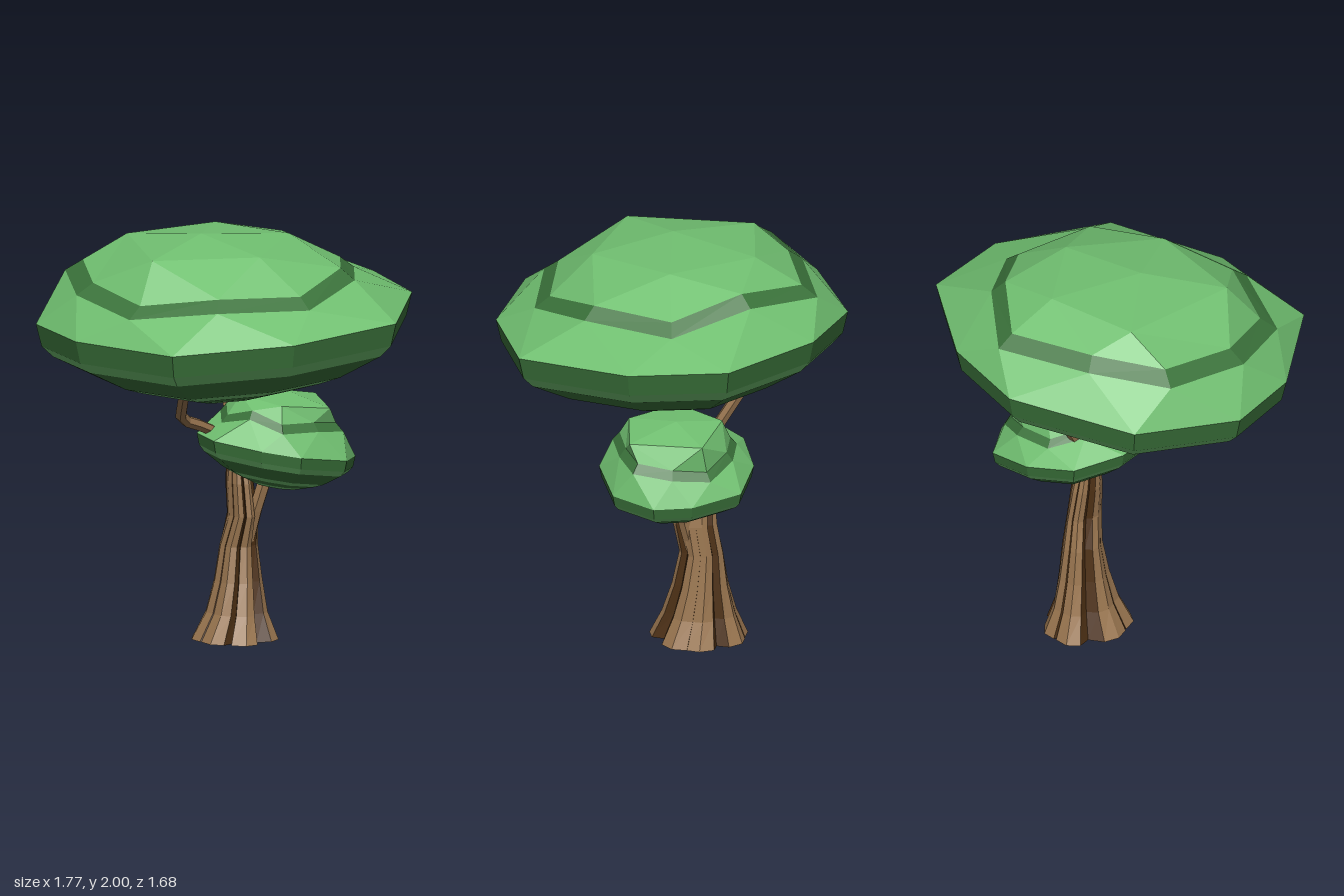
import * as THREE from 'three';

const V = (x, y, z) => new THREE.Vector3(x, y, z);
const mat = color => new THREE.MeshStandardMaterial({ color, flatShading: true, roughness: 1 });
const LEAF = mat(0x70bf70), LEAF_DARK = mat(0x3b733b), BARK = mat(0x9a7650), GROOVE = mat(0x4d3014);

// Joins two closed rings (lower, upper) with triangles; pick(i) chooses the target list
function loft(lower, upper, pick) {
  const n = lower.length;
  for (let i = 0; i < n; i++) {
    const j = (i + 1) % n;
    pick(i).push(lower[j], lower[i], upper[i], lower[j], upper[i], upper[j]);
  }
}

function addMesh(parent, name, points, material, matrix) {
  const geo = new THREE.BufferGeometry().setFromPoints(points);
  if (matrix) geo.applyMatrix4(matrix);
  geo.computeVertexNormals();
  const mesh = new THREE.Mesh(geo, material);
  mesh.name = name;
  parent.add(mesh);
}

// Faceted leaf crown, y = 0 at its widest rim; bulge widens the cap, depth scales the underside
function crown(name, matrix, bulge, depth) {
  const rim = [[0.02, -0.84], [0.45, -0.69], [0.87, -0.3], [0.88, 0.18], [0.59, 0.71],
    [0.02, 0.84], [-0.56, 0.72], [-0.85, 0.2], [-0.89, -0.22], [-0.6, -0.67]];
  const stripe = [[0.19, 0.18, -0.7], [0.47, 0.235, -0.39], [0.66, 0.155, -0.02], [0.5, 0.175, 0.4],
    [0.17, 0.095, 0.65], [-0.29, 0.105, 0.62], [-0.65, 0.06, 0.39], [-0.76, 0.115, -0.02],
    [-0.65, 0.155, -0.45], [-0.28, 0.18, -0.61]].map(p => V(...p));
  const cap = [[0.1, 0.345, -0.4], [0.32, 0.345, 0], [0.02, 0.315, 0.38],
    [-0.47, 0.305, 0.23], [-0.36, 0.325, -0.38]].map(([x, y, z]) => V(x * bulge, y, z * bulge));

  // underside: scaled copies of the tilted rim, [scale, height]
  const under = [[0, -0.418], [0.26, -0.4], [0.38, -0.37], [0.55, -0.325], [0.67, -0.285],
    [0.91, -0.165], [0.97, -0.11], [1, 0]];
  const rings = under.map(([s, y]) =>
    rim.map(([x, z]) => V(x * s, y * depth + s * (0.068 * x - 0.04 * z), z * s)));
  // upper side: stripe, five-cornered cap and apex
  rings.push(stripe, stripe.map(p => V(p.x * 0.89, p.y + 0.055, p.z * 0.89)));
  rings.push(stripe.map((_, i) => cap[Math.floor((i + 1) / 2) % 5]));
  rings.push(stripe.map(() => V(-0.13, 0.375, 0)));

  const light = [], dark = [];
  const darkBands = [0, 2, 4, 6, 8];
  for (let k = 0; k + 1 < rings.length; k++) {
    loft(rings[k], rings[k + 1], () => (darkBands.includes(k) ? dark : light));
  }
  const group = new THREE.Group();
  group.name = name;
  addMesh(group, 'leaves', light, LEAF, matrix);
  addMesh(group, 'leafStripes', dark, LEAF_DARK, matrix);
  return group;
}

// Fluted trunk: lobes of bark separated by dark grooves
function trunk() {
  const LOBES = 7;
  const levels = [ // y, centre x, centre z, radius x, radius z
    [0, 0.09, -0.13, 0.205, 0.235], [0.13, 0.1, -0.135, 0.145, 0.178],
    [0.28, 0.11, -0.14, 0.115, 0.135], [0.45, 0.115, -0.145, 0.092, 0.105],
    [0.6, 0.125, -0.115, 0.072, 0.105], [0.76, 0.11, -0.115, 0.066, 0.092],
    [0.92, 0.1, -0.115, 0.05, 0.06]];
  const rings = levels.map(([y, cx, cz, rx, rz]) => {
    const ring = [];
    for (let i = 0; i < LOBES; i++) {
      for (const [t, r] of [[0, 0.74], [0.2, 0.96], [0.55, 1.02], [0.93, 0.95]]) {
        const a = (i + t + 0.2 * Math.sin(i * 2.3)) / LOBES * Math.PI * 2 - y * 0.45;
        ring.push(V(cx + rx * r * Math.sin(a), y, cz - rz * r * Math.cos(a)));
      }
    }
    return ring;
  });
  const bark = [], grooves = [];
  for (let k = 0; k + 1 < rings.length; k++) {
    loft(rings[k], rings[k + 1], i => (i % 4 === 0 || i % 4 === 3 ? grooves : bark));
  }
  // closed foot
  loft(rings[0].map(() => V(0.09, 0, -0.13)), rings[0], () => bark);
  const group = new THREE.Group();
  group.name = 'trunk';
  addMesh(group, 'bark', bark, BARK);
  addMesh(group, 'barkGrooves', grooves, GROOVE);
  return group;
}

function branch(name, radius, points) {
  const path = new THREE.CatmullRomCurve3(points.map(p => V(...p)), false, 'catmullrom', 0.15);
  const mesh = new THREE.Mesh(new THREE.TubeGeometry(path, 9, radius, 6), BARK);
  mesh.name = name;
  return mesh;
}

export function createModel() {
  const tree = new THREE.Group();
  tree.name = 'tree';
  tree.add(trunk());

  // branches carrying the crowns
  tree.add(branch('lowerBranch', 0.034,
    [[0.15, 0.48, -0.1], [0.175, 0.63, -0.065], [0.21, 0.76, -0.045], [0.25, 0.92, -0.03]]));
  tree.add(branch('sideBranch', 0.029,
    [[0.1, 0.86, -0.12], [-0.07, 1.04, -0.05], [-0.24, 1.11, 0.02], [-0.31, 1.28, 0.24]]));
  tree.add(branch('rearBranch', 0.029,
    [[0.1, 0.86, -0.12], [0.1, 1.06, -0.2], [0.105, 1.16, -0.26], [0.1, 1.34, -0.37]]));

  tree.add(crown('upperCrown', new THREE.Matrix4().makeTranslation(0, 1.625, 0), 1, 1));

  // smaller crown: turned half round, scaled and leaning down to the left side
  const lean = new THREE.Matrix4().makeTranslation(0.26, 0.945, -0.03)
    .multiply(new THREE.Matrix4().set(1, 0, 0, 0, -0.06, 1, -0.08, 0, 0, 0, 1, 0, 0, 0, 0, 1))
    .multiply(new THREE.Matrix4().makeScale(0.42, 0.7, 0.44))
    .multiply(new THREE.Matrix4().makeRotationY(Math.PI));
  tree.add(crown('lowerCrown', lean, 1.3, 0.72));
  return tree;
}
